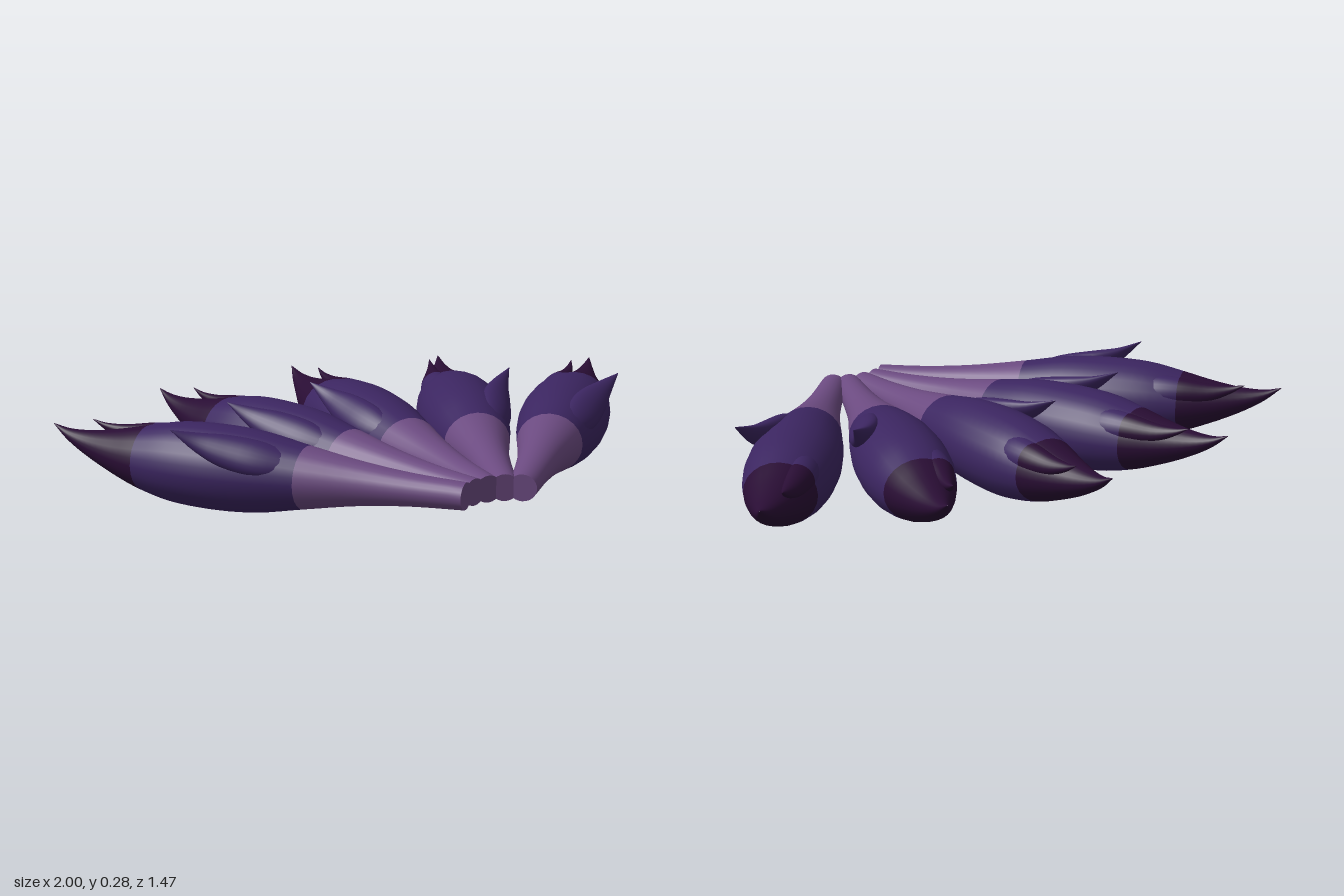
import * as THREE from 'three';

const mat = (name, color) => Object.assign(new THREE.MeshStandardMaterial({ color }), { name });

const PIVOT_Z = 0.82; // point the tails fan out from
const SIDES = 24, SUB = 4;

// Tail sections: [x, y, z, half width, half height]
const TAIL = [
  [0, 0.138, 0.67, 0.045, 0.042],
  [0, 0.138, 0.50, 0.055, 0.050],
  [0, 0.138, 0.33, 0.073, 0.068],
  [0, 0.137, 0.15, 0.107, 0.098],
  [0, 0.137, 0.00, 0.134, 0.125],
  [0, 0.137, -0.14, 0.146, 0.133],
  [0, 0.138, -0.28, 0.139, 0.127],
  [0, 0.140, -0.40, 0.115, 0.102],
  [0, 0.147, -0.50, 0.085, 0.073],
  [0, 0.162, -0.60, 0.050, 0.043],
  [0, 0.185, -0.68, 0.023, 0.019],
  [0, 0.215, -0.737, 0.001, 0.001],
];
// Tuft sections: [x, y, z, half thickness, half breadth]
const SIDE_TUFT = [
  [-0.050, 0.180, 0.16, 0.020, 0.030],
  [-0.080, 0.200, 0.04, 0.035, 0.058],
  [-0.100, 0.220, -0.07, 0.036, 0.055],
  [-0.127, 0.247, -0.155, 0.022, 0.032],
  [-0.168, 0.288, -0.225, 0.001, 0.001],
];
const TIP_TUFT = [
  [0.060, 0.185, -0.20, 0.030, 0.040],
  [0.064, 0.193, -0.31, 0.042, 0.055],
  [0.060, 0.192, -0.40, 0.043, 0.050],
  [0.054, 0.195, -0.50, 0.026, 0.032],
  [0.048, 0.209, -0.57, 0.012, 0.015],
  [0.047, 0.229, -0.62, 0.001, 0.001],
];

// Smooth loft through elliptical sections; bands = [[last section, material index], ...]
function loft(sections, bands, angle = 0, mirror = 1) {
  const curve = (f) => new THREE.CatmullRomCurve3(sections.map(f), false, 'catmullrom', 0.5);
  const centre = curve(([x, y, z]) => new THREE.Vector3(x * mirror, y, z - PIVOT_Z));
  const size = curve((s) => new THREE.Vector3(s[3], s[4], 0));
  const tilt = mirror > 0 ? angle : Math.PI - angle;
  const rings = (sections.length - 1) * SUB;
  const pos = [], index = [];
  for (let i = 0; i <= rings; i++) {
    const c = centre.getPoint(i / rings), r = size.getPoint(i / rings);
    for (let j = 0; j < SIDES; j++) {
      const a = (j / SIDES) * Math.PI * 2;
      const u = Math.max(r.x, 0.001) * Math.cos(a), v = Math.max(r.y, 0.001) * Math.sin(a);
      pos.push(c.x + u * Math.cos(tilt) - v * Math.sin(tilt),
        c.y + u * Math.sin(tilt) + v * Math.cos(tilt), c.z);
      if (i < rings) {
        const k = (j + 1) % SIDES, p = i * SIDES + j, q = i * SIDES + k;
        index.push(p, p + SIDES, q, q, p + SIDES, q + SIDES);
      }
    }
  }
  const geo = new THREE.BufferGeometry();
  geo.setAttribute('position', new THREE.Float32BufferAttribute(pos, 3));
  geo.setIndex(index);
  geo.computeVertexNormals();
  let from = 0;
  for (const [last, m] of bands) {
    const to = last * SUB * SIDES * 6;
    geo.addGroup(from, to - from, m);
    from = to;
  }
  return geo;
}

export function createModel() {
  const model = new THREE.Group();
  model.name = 'tailFan';
  const mats = [mat('mauve', 0x6b4a80), mat('deepPurple', 0x3b2560), mat('darkPlum', 0x290d34)];

  const add = (parent, name, geo, material) => {
    const mesh = new THREE.Mesh(geo, material);
    mesh.name = name;
    parent.add(mesh);
    return mesh;
  };

  for (let i = -2; i <= 2; i++) {
    const tail = new THREE.Group();
    tail.name = `tail${i + 3}`;
    tail.position.z = PIVOT_Z;
    tail.rotation.y = -i * THREE.MathUtils.degToRad(20);
    const mirror = i > 0 ? -1 : 1;

    // Banded body: mauve root, purple middle, dark tip
    add(tail, 'tailBody', loft(TAIL, [[3, 0], [7, 1], [11, 2]]), mats);
    // Curled tuft on the outer side, and a second point beside the tip
    add(tail, 'sideTuft', loft(SIDE_TUFT, [[4, 1]], Math.PI * 0.75, mirror), mats);
    add(tail, 'tipTuft', loft(TIP_TUFT, [[2, 1], [5, 2]], Math.PI * 0.25, mirror), mats);

    // Flat end of the root
    const cap = add(tail, 'rootCap', new THREE.CircleGeometry(1, SIDES), mats[0]);
    cap.scale.set(0.045, 0.042, 1);
    cap.position.set(0, 0.138, 0.67 - PIVOT_Z);
    model.add(tail);
  }
  return model;
}
